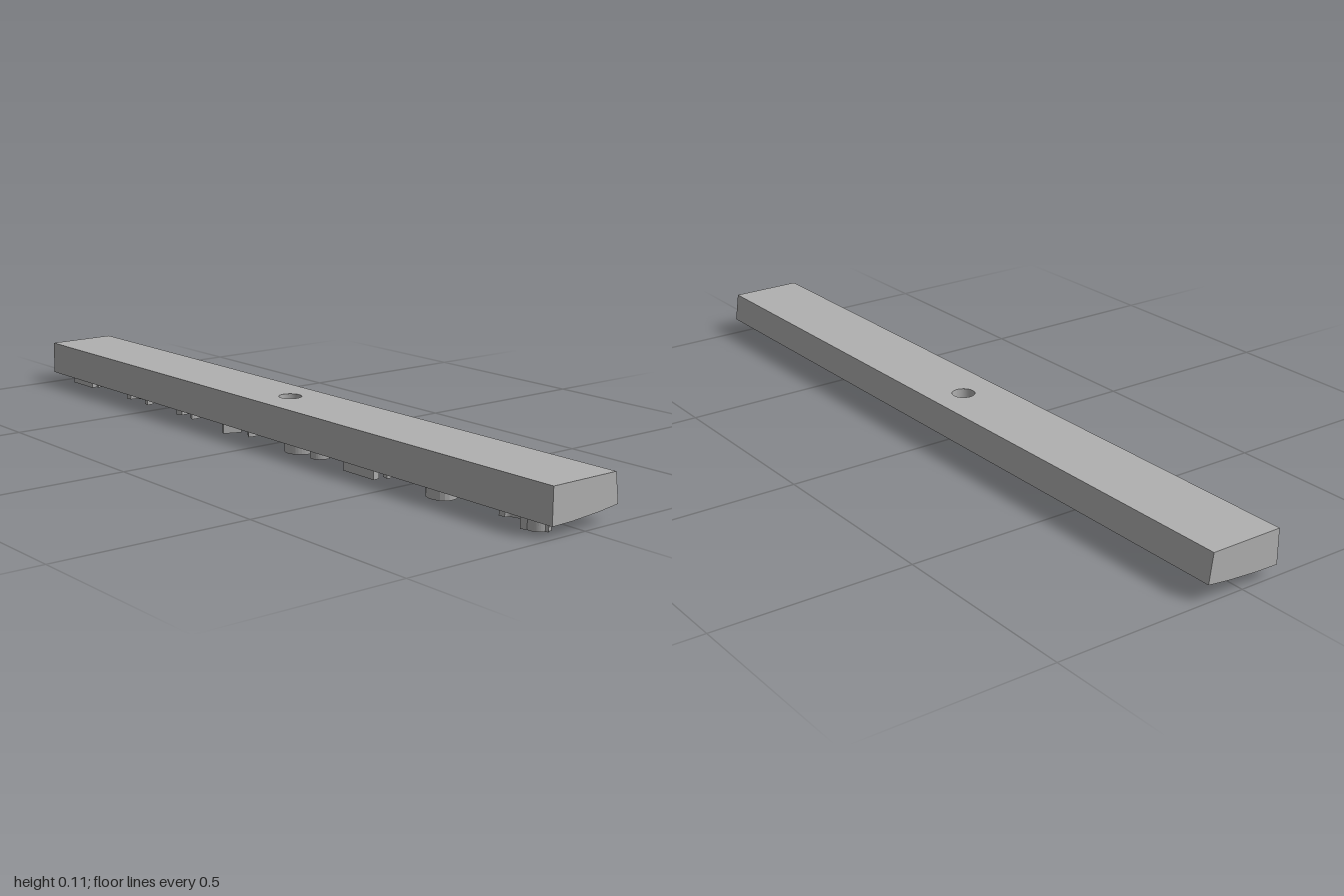
import * as THREE from 'three';

const LEFT = -0.1, RIGHT = 0.1, TOP = 0.115, TOP_RIGHT = 0.09, HOLE = 0.029;
const underside = (x) => 0.028 + 0.35 * (x + 0.1) ** 2; // gently curved bottom

const grey = new THREE.MeshStandardMaterial({ color: 0xb0b0b0, side: THREE.DoubleSide });
grey.name = 'grey';

// Move every vertex by a rule on (x, y, z)
function bend(geometry, rule) {
  const p = geometry.attributes.position;
  for (let i = 0; i < p.count; i++) p.setXYZ(i, ...rule(p.getX(i), p.getY(i), p.getZ(i)));
  geometry.computeVertexNormals();
  return geometry;
}

// Flat strip in plan, optionally with the central bore
function strip(x0, x1, bored) {
  const s = new THREE.Shape([[x0, -1], [x1, -1], [x1, 1], [x0, 1]].map((p) => new THREE.Vector2(...p)));
  if (bored) s.holes.push(new THREE.Path().absarc(0, 0, HOLE, 0, Math.PI * 2, true));
  return new THREE.ShapeGeometry(s, 32);
}

// Curved ridge: part of an ellipse given by centre, radii, start and sweep in degrees
function arcRidge([x, z, rx, rz, start, sweep], t = 0.009) {
  const pts = [], n = 20;
  for (const [side, flip] of [[t, false], [-t, true]]) {
    for (let i = 0; i <= n; i++) {
      const a = THREE.MathUtils.degToRad(start + sweep * (flip ? n - i : i) / n);
      pts.push(new THREE.Vector2(x + (rx + side) * Math.cos(a), z + (rz + side) * Math.sin(a)));
    }
  }
  return raise(new THREE.Shape(pts));
}

// Straight ridge between two plan points
function barRidge([x0, z0, x1, z1], t = 0.008) {
  const a = new THREE.Vector2(x0, z0), b = new THREE.Vector2(x1, z1);
  const d = b.clone().sub(a).normalize(), o = new THREE.Vector2(-d.y, d.x).multiplyScalar(t);
  return raise(new THREE.Shape([a.clone().sub(o), b.clone().sub(o), b.clone().add(o), a.clone().add(o)]));
}

// Extrude a plan shape downward, following the underside
function raise(shape) {
  const g = new THREE.ExtrudeGeometry(shape, { depth: 0.031, bevelEnabled: false });
  g.rotateX(Math.PI / 2);
  return bend(g, (x, y, z) => [x, y + underside(x) + 0.003, z]);
}

export function createModel() {
  const model = new THREE.Group();
  const add = (parent, name, geometry) => {
    const mesh = new THREE.Mesh(geometry, grey);
    mesh.name = name;
    parent.add(mesh);
  };

  // Bar shell
  const bar = new THREE.Group();
  bar.name = 'bar';
  model.add(bar);
  add(bar, 'topFace', strip(LEFT, TOP_RIGHT, true).rotateX(-Math.PI / 2).translate(0, TOP, 0));
  const stations = [LEFT, -0.04, 0.04, RIGHT];
  for (let i = 0; i < 3; i++) {
    const g = strip(stations[i], stations[i + 1], i === 1).rotateX(Math.PI / 2);
    add(bar, 'underside', bend(g, (x, y, z) => [x, underside(x), z]));
  }
  const profile = new THREE.Shape([
    ...stations.map((x) => new THREE.Vector2(x, underside(x))),
    new THREE.Vector2(TOP_RIGHT, TOP), new THREE.Vector2(LEFT, TOP),
  ]);
  add(bar, 'frontEnd', new THREE.ShapeGeometry(profile).translate(0, 0, 1));
  const back = new THREE.Shape(profile.getPoints().map((p) => new THREE.Vector2(-p.x, p.y)));
  add(bar, 'backEnd', new THREE.ShapeGeometry(back).rotateY(Math.PI).translate(0, 0, -1));
  add(bar, 'rightSide', bend(new THREE.PlaneGeometry(2, 1).rotateY(-Math.PI / 2),
    (x, y, z) => [LEFT, y > 0 ? TOP : underside(LEFT), z]));
  add(bar, 'leftSide', bend(new THREE.PlaneGeometry(2, 1).rotateY(Math.PI / 2),
    (x, y, z) => [y > 0 ? TOP_RIGHT : RIGHT, y > 0 ? TOP : underside(RIGHT), z]));

  // Central bore wall, facing inward
  const bore = new THREE.CylinderGeometry(HOLE, HOLE, 1, 32, 1, true).scale(-1, 1, 1);
  add(bar, 'bore', bend(bore, (x, y, z) => [x, y > 0 ? TOP : underside(x), z]));

  // Raised hooks, loops and ribs under the bar
  const ridges = new THREE.Group();
  ridges.name = 'undersideRidges';
  model.add(ridges);
  const arcs = [
    [-0.045, -0.89, 0.03, 0.04, -95, 190],
    [-0.055, -0.615, 0.03, 0.045, -100, 200],
    [-0.05, -0.38, 0.032, 0.03, -110, 220],
    [-0.045, -0.12, 0.03, 0.025, -60, 180],
    [-0.035, 0.10, 0.042, 0.035, 80, 200],
    [-0.035, 0.18, 0.03, 0.02, 100, 160],
    [-0.045, 0.37, 0.035, 0.055, -100, 200],
    [-0.005, 0.635, 0.032, 0.045, -90, 220],
    [-0.055, 0.62, 0.024, 0.03, 0, 359],
    [-0.06, 0.86, 0.025, 0.045, -90, 180],
    [-0.055, 0.925, 0.025, 0.022, 90, 170],
  ];
  for (const a of arcs) add(ridges, 'curvedRidge', arcRidge(a));
  const bars = [
    [-0.055, -0.85, -0.055, -0.95],
    [-0.045, -0.15, -0.088, -0.17],
    [-0.075, 0.42, -0.075, 0.31],
    [-0.088, 0.90, -0.06, 0.955],
  ];
  for (const b of bars) add(ridges, 'straightRidge', barRidge(b));
  return model;
}
